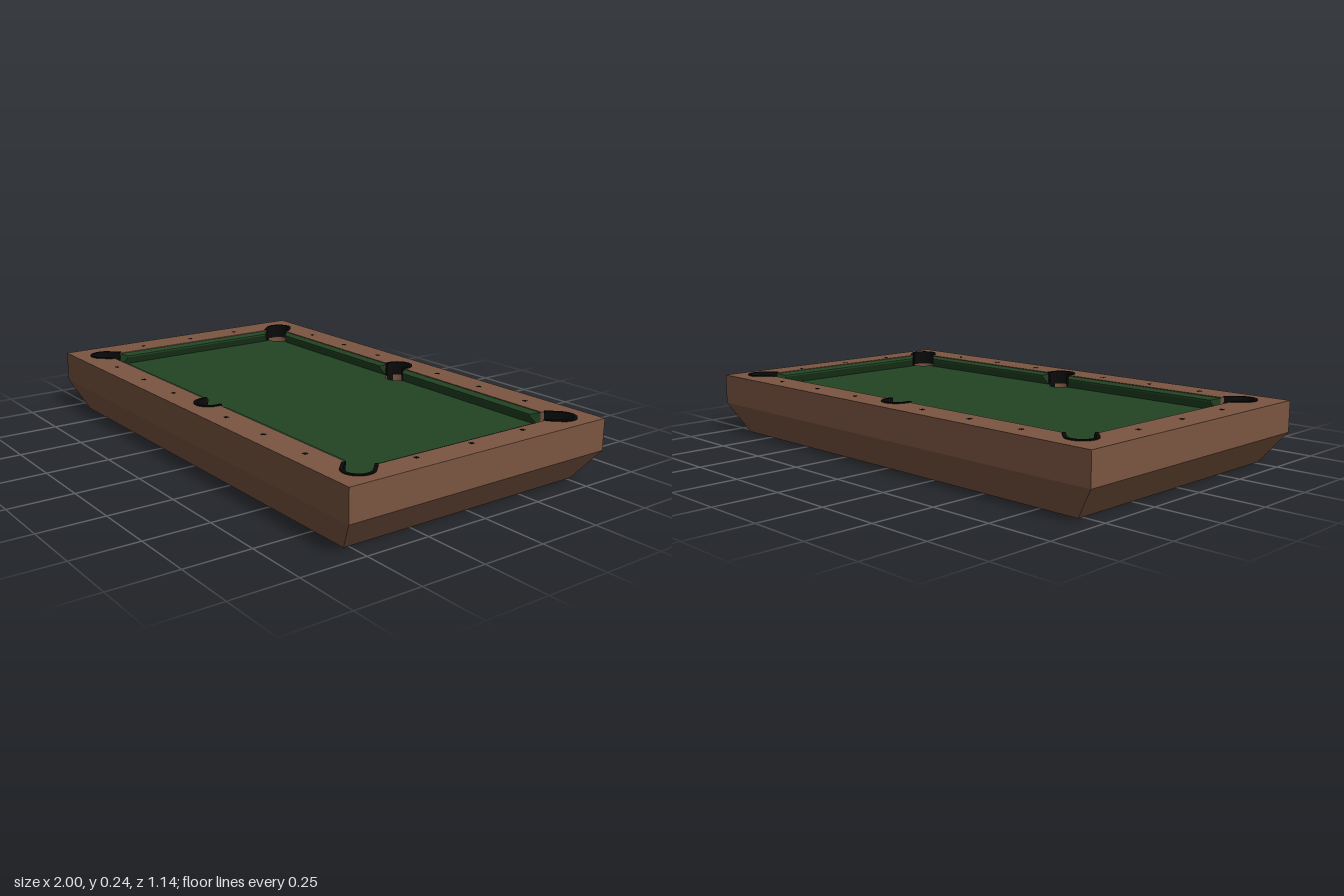
import * as THREE from 'three';

const material = (name, color) => {
  const m = new THREE.MeshStandardMaterial({ color, side: THREE.DoubleSide });
  m.name = name;
  return m;
};

const TOP = 0.24, SKIRT = 0.12, CLOTH = 0.19, CUP = 0.14;
const OFFSET = 0.016;            // the playing area sits slightly off centre
const HX = 0.877, HZ = 0.445;    // half size of the opening in the rails
const LX = 1, LZ = 0.572;        // half size of the cabinet

// Points along an arc, angles in degrees
function arc(cx, cy, r, from, to, steps = 12) {
  return Array.from({ length: steps + 1 }, (_, i) => {
    const a = THREE.MathUtils.degToRad(from + (to - from) * i / steps);
    return [cx + r * Math.cos(a), cy + r * Math.sin(a)];
  });
}

// Mirrors a quarter outline (from the y axis to the x axis) into a closed loop
function mirrorQuarter(quarter) {
  const back = [...quarter].reverse();
  const flip = (pts, sx, sy) => pts.map(([x, y]) => new THREE.Vector2(x * sx, y * sy));
  return [...flip(quarter, 1, 1), ...flip(back, 1, -1), ...flip(quarter, -1, -1), ...flip(back, -1, 1)];
}

export function createModel() {
  const wood = material('wood', 0x7a5541);
  const cloth = material('green cloth', 0x224423);
  const black = material('black trim', 0x0a0a0a);

  const model = new THREE.Group();
  model.name = 'poolTable';
  const field = new THREE.Group();
  field.name = 'playingArea';
  field.position.x = OFFSET;
  model.add(field);

  const add = (parent, name, geometry, mat, x = 0, y = 0, z = 0) => {
    const mesh = new THREE.Mesh(geometry, mat);
    mesh.name = name;
    mesh.position.set(x, y, z);
    parent.add(mesh);
    return mesh;
  };

  // Tapered lower cabinet
  const base = new THREE.BoxGeometry(2 * LX, SKIRT, 2 * LZ);
  const bp = base.attributes.position;
  for (let i = 0; i < bp.count; i++) {
    if (bp.getY(i) < 0) bp.setXYZ(i, bp.getX(i) * 0.909, bp.getY(i), bp.getZ(i) * 0.909);
  }
  base.computeVertexNormals();
  add(model, 'cabinet', base, wood, 0, SKIRT / 2, 0);

  // Rail frame with the pocket openings cut out
  const frame = new THREE.Shape([[-LX, -LZ], [LX, -LZ], [LX, LZ], [-LX, LZ]]
    .map(([x, y]) => new THREE.Vector2(x - OFFSET, y)));
  frame.holes.push(new THREE.Path(mirrorQuarter([
    ...arc(0, 0.458, 0.05, 90, 0, 8), [0.05, HZ], [0.8, HZ],
    ...arc(0.882, 0.458, 0.05, 135, -45), [HX, 0.385],
  ])));
  const frameGeo = new THREE.ExtrudeGeometry(frame, { depth: TOP - SKIRT, bevelEnabled: false });
  add(field, 'railFrame', frameGeo.rotateX(-Math.PI / 2), wood, 0, SKIRT, 0);

  // Cloth bed, notched at the pockets
  const bed = new THREE.Shape(mirrorQuarter([
    ...arc(0, 0.452, 0.048, 270, 352, 8),
    ...arc(0.87, 0.448, 0.048, 184, 278, 10), [HX, 0.39],
  ]));
  add(field, 'clothBed', new THREE.ShapeGeometry(bed).rotateX(-Math.PI / 2), cloth, 0, CLOTH, 0);

  // Cushions: undercut profile swept along each rail, with angled ends
  const NOSE = 0.026;
  const profile = new THREE.Shape([[0, CLOTH], [0.006, CLOTH], [NOSE, 0.222], [NOSE, 0.229], [0, 0.237]]
    .map(p => new THREE.Vector2(...p)));
  function cushion(name, start, end, noseStart, noseEnd, angle, x, z) {
    const g = new THREE.ExtrudeGeometry(profile, { depth: 1, bevelEnabled: false });
    const p = g.attributes.position;
    for (let i = 0; i < p.count; i++) {
      const k = p.getX(i) / NOSE;
      const a = THREE.MathUtils.lerp(start, noseStart, k);
      const b = THREE.MathUtils.lerp(end, noseEnd, k);
      p.setZ(i, THREE.MathUtils.lerp(a, b, p.getZ(i)));
    }
    g.computeVertexNormals();
    add(field, name, g, cloth, x, 0, z).rotation.y = angle;
  }
  for (const s of [1, -1]) {
    cushion('longCushion', 0.05, 0.8, 0.072, 0.772, s * Math.PI / 2, 0, s * HZ);
    cushion('longCushion', -0.8, -0.05, -0.772, -0.072, s * Math.PI / 2, 0, s * HZ);
    cushion('endCushion', -0.385, 0.385, -0.36, 0.36, s > 0 ? Math.PI : 0, s * HX, 0);
  }

  // U-shaped pocket liner, open towards the table
  function linerGeometry(arm) {
    const r0 = 0.046, r1 = 0.058;
    const u = new THREE.Shape([
      [-r1, -arm], ...arc(0, 0, r1, 180, 0, 20), [r1, -arm],
      [r0, -arm], ...arc(0, 0, r0, 0, 180, 20), [-r0, -arm],
    ].map(p => new THREE.Vector2(...p)));
    return new THREE.ExtrudeGeometry(u, { depth: TOP + 0.004 - CUP, bevelEnabled: false }).rotateX(-Math.PI / 2);
  }

  // Six pockets: liner, cup wall and cup floor
  for (const sx of [-1, 0, 1]) {
    for (const sz of [-1, 1]) {
      const liner = add(field, 'pocketLiner', linerGeometry(sx ? 0.055 : 0.02), black, sx * 0.882, CUP, sz * 0.458);
      liner.rotation.y = Math.atan2(-sx, -sz);
      const x = sx * 0.87, z = sz * (sx ? 0.448 : 0.452);
      add(field, 'pocketCup', new THREE.CylinderGeometry(0.048, 0.048, CLOTH - CUP, 24, 1, true),
        wood, x, (CLOTH + CUP) / 2, z);
      add(field, 'pocketFloor', new THREE.CircleGeometry(0.05, 24).rotateX(-Math.PI / 2), wood, x, CUP + 0.002, z);
    }
  }

  // Small sight markers along the rails
  const sight = new THREE.BoxGeometry(0.014, 0.002, 0.014);
  for (const s of [-1, 1]) {
    for (const x of [-0.668, -0.428, -0.19, 0.19, 0.428, 0.668]) {
      add(field, 'railSight', sight, black, x, TOP, s * 0.503);
    }
    for (const z of [-0.24, 0, 0.24]) add(model, 'railSight', sight, black, s * 0.92, TOP, z);
  }

  return model;
}
